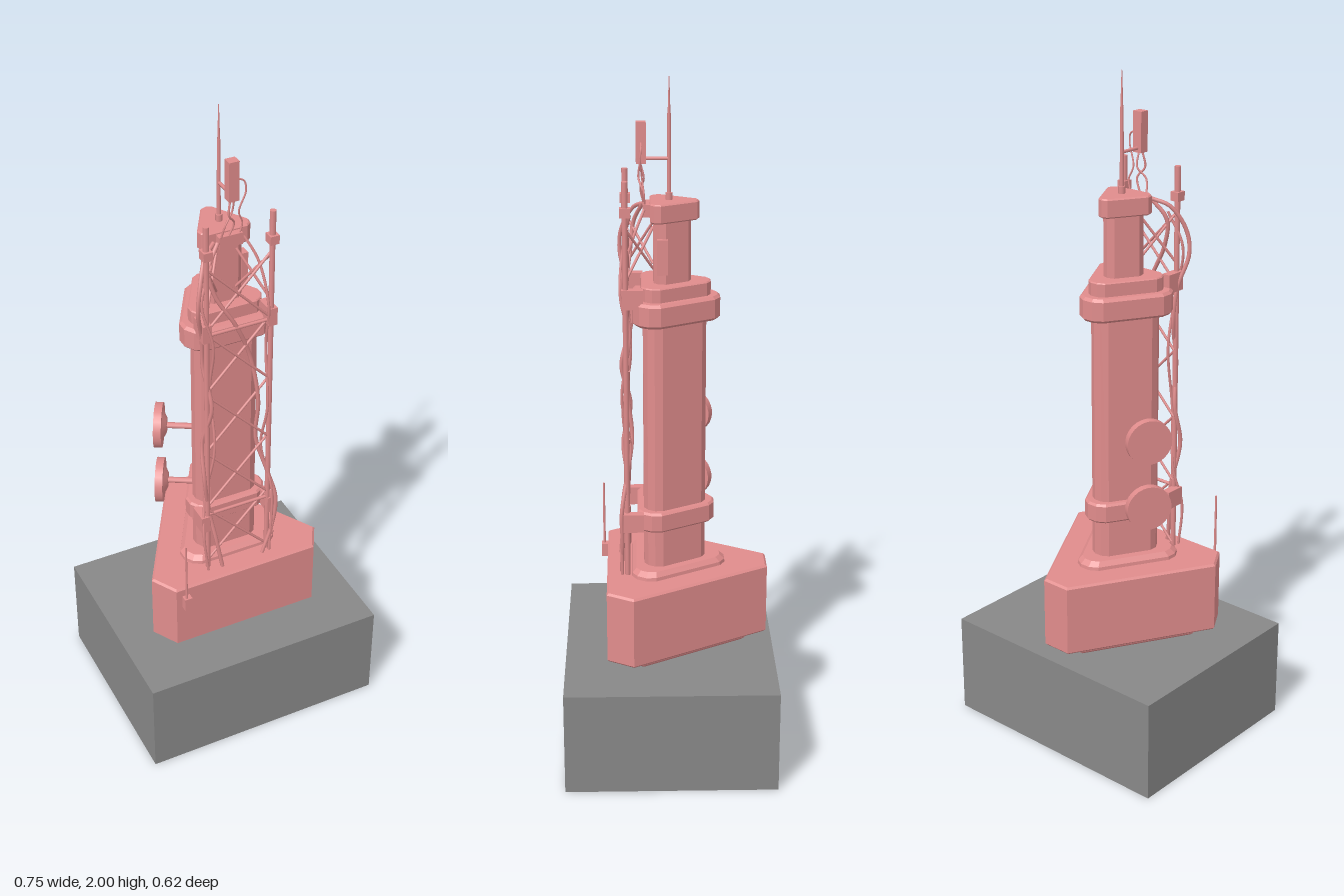
import * as THREE from 'three';

const V = (a) => new THREE.Vector3(...a);
const CX = -0.01; // tower axis
const POLE_X = 0.098, POLE_Z = 0.124;

// Triangle outline with trimmed corners: r = distance to the sides, c = distance to the corner tips
function outline(r, c, n) {
  const rho = 2 * r - c, d = c - rho, pts = [];
  for (const deg of [-90, 30, 150]) {
    const a = THREE.MathUtils.degToRad(deg);
    for (let i = 0; i < n; i++) {
      const b = a + (Math.PI / 3) * (-1 + (2 * i + 1) / n);
      const q = rho / Math.cos(Math.PI / 3 / n);
      pts.push([d * Math.cos(a) + q * Math.cos(b), d * Math.sin(a) + q * Math.sin(b)]);
    }
  }
  return pts;
}

// Stack of triangular sections [y, r, c], closed at both ends
function loft(layers, n) {
  const rings = layers.map(([y, r, c]) => outline(r, c, n).map(([x, z]) => [x, y, z]));
  const pos = [], m = rings[0].length;
  const tri = (...p) => p.forEach((q) => pos.push(...q));
  for (let i = 0; i < m; i++) {
    const j = (i + 1) % m;
    for (let k = 0; k < rings.length - 1; k++) {
      const lo = rings[k], hi = rings[k + 1];
      tri(lo[i], hi[i], hi[j]);
      tri(lo[i], hi[j], lo[j]);
    }
    const bot = rings[0], top = rings[rings.length - 1];
    tri([0, top[0][1], 0], top[j], top[i]);
    tri([0, bot[0][1], 0], bot[i], bot[j]);
  }
  const g = new THREE.BufferGeometry();
  g.setAttribute('position', new THREE.Float32BufferAttribute(pos, 3));
  g.computeVertexNormals();
  return g;
}

// Prism with small bevels top and bottom
function bevelled(y0, y1, r, c, n, b = 0.006) {
  return loft([[y0, r - b, c - b], [y0 + b, r, c], [y1 - b, r, c], [y1, r - b, c - b]], n);
}

export function createModel() {
  const model = new THREE.Group();
  const grey = new THREE.MeshStandardMaterial({ color: 0x888888, side: THREE.DoubleSide });
  const pink = new THREE.MeshStandardMaterial({ color: 0xe08c8c });
  const pinkFlat = new THREE.MeshStandardMaterial({ color: 0xe08c8c, flatShading: true });

  const add = (name, geo, mat = pinkFlat, parent = model) => {
    const mesh = new THREE.Mesh(geo, mat);
    mesh.name = name;
    parent.add(mesh);
    return mesh;
  };
  const box = (name, w, h, d, x, y, z, parent) => {
    const mesh = add(name, new THREE.BoxGeometry(w, h, d), pinkFlat, parent);
    mesh.position.set(x, y, z);
    return mesh;
  };
  // Round bar from a to b
  const bar = (name, a, b, r, parent, r2 = r, sides = 8) => {
    const dir = V(b).sub(V(a)), len = dir.length();
    const mesh = add(name, new THREE.CylinderGeometry(r2, r, len, sides), pink, parent);
    mesh.position.copy(V(a)).addScaledVector(dir, 0.5);
    mesh.quaternion.setFromUnitVectors(new THREE.Vector3(0, 1, 0), dir.normalize());
    return mesh;
  };
  const cable = (name, pts, r, parent) =>
    add(name, new THREE.TubeGeometry(new THREE.CatmullRomCurve3(pts.map(V)), pts.length * 7, r, 6), pink, parent);

  // Ground block, open underneath
  const block = new THREE.BoxGeometry(0.755, 0.31, 0.62);
  const idx = Array.from(block.index.array);
  idx.splice(18, 6); // remove bottom face
  block.setIndex(idx);
  add('groundBlock', block, grey).position.set(-0.002, 0.155, 0);

  // Triangular tower body
  const tower = new THREE.Group();
  tower.name = 'tower';
  tower.position.x = CX;
  model.add(tower);
  const solid = (name, geo) => add(name, geo, pinkFlat, tower);
  solid('skirt', loft([[0.31, 0.14, 0.218], [0.318, 0.148, 0.228], [0.345, 0.155, 0.238]], 2));
  solid('baseHull', bevelled(0.34, 0.56, 0.185, 0.292, 2));
  solid('basePlate', loft([[0.555, 0.112, 0.167], [0.57, 0.11, 0.165], [0.583, 0.098, 0.15]], 4));
  solid('mainColumn', loft([[0.57, 0.075, 0.106], [1.4, 0.075, 0.106]], 4));
  solid('lowerCollar', bevelled(0.70, 0.76, 0.094, 0.132, 4));
  solid('upperCollar', bevelled(1.32, 1.39, 0.103, 0.145, 4, 0.008));
  solid('columnShoulder', bevelled(1.38, 1.43, 0.08, 0.118, 4, 0.003));
  solid('upperColumn', loft([[1.42, 0.045, 0.06], [1.62, 0.045, 0.06]], 3));
  solid('topCap', bevelled(1.605, 1.66, 0.054, 0.083, 3, 0.004));
  box('sideUnit', 0.02, 0.1, 0.03, 0.062, 1.51, 0.02, tower);

  // Front lattice mast
  const lattice = new THREE.Group();
  lattice.name = 'latticeMast';
  lattice.position.x = CX;
  model.add(lattice);
  for (const s of [-1, 1]) {
    const x = s * POLE_X;
    bar('pole', [x, 0.56, POLE_Z], [x, 1.65, POLE_Z], 0.008, lattice);
    box('poleHead', 0.027, 0.026, 0.03, x, 1.645, POLE_Z, lattice);
    bar('poleTip', [x, 1.65, POLE_Z], [x, 1.73, POLE_Z], 0.009, lattice);
    box('lowerClamp', 0.026, 0.055, 0.06, s * 0.108, 0.73, 0.105, lattice);
    box('upperClamp', 0.026, 0.055, 0.06, s * 0.1, 1.4, 0.105, lattice);
    bar('topStay', [x, 1.6, POLE_Z], [s * 0.03, 1.47, 0.045], 0.004, lattice);
    bar('topStay', [x, 1.45, POLE_Z], [s * 0.03, 1.59, 0.045], 0.004, lattice);
  }
  const bays = 5, y0 = 0.575, bay = (1.6 - y0) / bays;
  for (let i = 0; i < bays; i++) {
    const lo = y0 + i * bay, hi = lo + bay;
    bar('crossBrace', [-POLE_X, lo, POLE_Z - 0.007], [POLE_X, hi, POLE_Z - 0.007], 0.004, lattice, 0.004, 6);
    bar('crossBrace', [POLE_X, lo, POLE_Z + 0.001], [-POLE_X, hi, POLE_Z + 0.001], 0.004, lattice, 0.004, 6);
  }
  for (const y of [0.76, 1.39]) bar('crossBar', [-POLE_X, y, POLE_Z], [POLE_X, y, POLE_Z], 0.005, lattice);

  // Hanging cables
  const cables = new THREE.Group();
  cables.name = 'cables';
  model.add(cables);
  cable('leftCable', [[-0.06, 1.64, 0.07], [-0.1, 1.62, 0.1], [-0.132, 1.55, 0.135], [-0.14, 1.48, 0.14],
    [-0.118, 1.38, 0.115], [-0.112, 1.28, 0.107], [-0.1, 1.15, 0.138], [-0.118, 1.02, 0.112],
    [-0.122, 0.9, 0.135], [-0.1, 0.76, 0.12], [-0.085, 0.66, 0.135], [-0.07, 0.56, 0.145]], 0.006, cables);
  cable('innerCable', [[-0.05, 1.64, 0.075], [-0.09, 1.58, 0.1], [-0.075, 1.5, 0.11], [-0.02, 1.4, 0.122],
    [0.03, 1.28, 0.112], [0.055, 1.12, 0.12], [0.055, 0.98, 0.108], [0.085, 0.86, 0.125],
    [0.108, 0.76, 0.14], [0.1, 0.66, 0.138], [0.065, 0.56, 0.142]], 0.006, cables);
  cable('rightCable', [[0.03, 1.64, 0.07], [0.06, 1.57, 0.1], [0.075, 1.44, 0.135], [0.08, 1.3, 0.112],
    [0.076, 1.1, 0.137], [0.07, 0.95, 0.112], [0.095, 0.8, 0.137], [0.09, 0.56, 0.14]], 0.004, cables);
  cable('poleCable', [[-0.085, 1.6, 0.11], [-0.125, 1.5, 0.13], [-0.095, 1.36, 0.14], [-0.092, 1.2, 0.11],
    [-0.09, 1.0, 0.135], [-0.112, 0.82, 0.115], [-0.128, 0.7, 0.14], [-0.115, 0.56, 0.142]], 0.004, cables);

  // Top antenna with its side unit
  const antenna = new THREE.Group();
  antenna.name = 'topAntenna';
  antenna.position.x = CX;
  model.add(antenna);
  bar('antennaFoot', [0, 1.655, 0], [0, 1.68, 0], 0.01, antenna);
  bar('antennaMast', [0, 1.66, 0], [0, 1.9, 0], 0.006, antenna, 0.005);
  bar('antennaTip', [0, 1.9, 0], [0, 2.0, 0], 0.004, antenna, 0.001);
  bar('unitArm', [0, 1.775, 0], [0, 1.775, 0.08], 0.005, antenna);
  box('antennaUnit', 0.03, 0.115, 0.028, 0, 1.82, 0.078, antenna);
  box('junctionBox', 0.07, 0.035, 0.025, 0, 1.635, 0.062, antenna);
  cable('unitCable', [[-0.006, 1.765, 0.08], [-0.012, 1.72, 0.085], [0.008, 1.69, 0.075], [-0.01, 1.64, 0.07]], 0.003, antenna);
  cable('unitCable', [[0.014, 1.82, 0.078], [0.035, 1.81, 0.078], [0.04, 1.78, 0.08], [0.022, 1.72, 0.075],
    [0.035, 1.68, 0.07], [0.025, 1.64, 0.068]], 0.0025, antenna);
  cable('unitCable', [[0.006, 1.765, 0.08], [0.004, 1.72, 0.07], [-0.02, 1.69, 0.08], [-0.03, 1.64, 0.07]], 0.003, antenna);

  // Round dishes on the right rear face
  const nx = -Math.cos(Math.PI / 6), nz = -0.5;
  const at = (d, y) => [CX + nx * d - 0.011, y, nz * d + 0.018];
  for (const y of [0.98, 0.775]) {
    const dish = new THREE.Group();
    dish.name = 'dish';
    model.add(dish);
    bar('dishStem', at(0.06, y), at(0.166, y), 0.009, dish);
    bar('dishBack', at(0.15, y), at(0.164, y), 0.022, dish, 0.05, 20);
    bar('dishDrum', at(0.162, y), at(0.185, y), 0.067, dish, 0.067, 28);
  }

  // Whip antenna on the front corner of the hull
  box('whipBase', 0.024, 0.042, 0.02, -0.21, 0.51, 0.195);
  bar('whip', [-0.213, 0.52, 0.197], [-0.213, 0.73, 0.197], 0.004, model, 0.003);

  return model;
}
